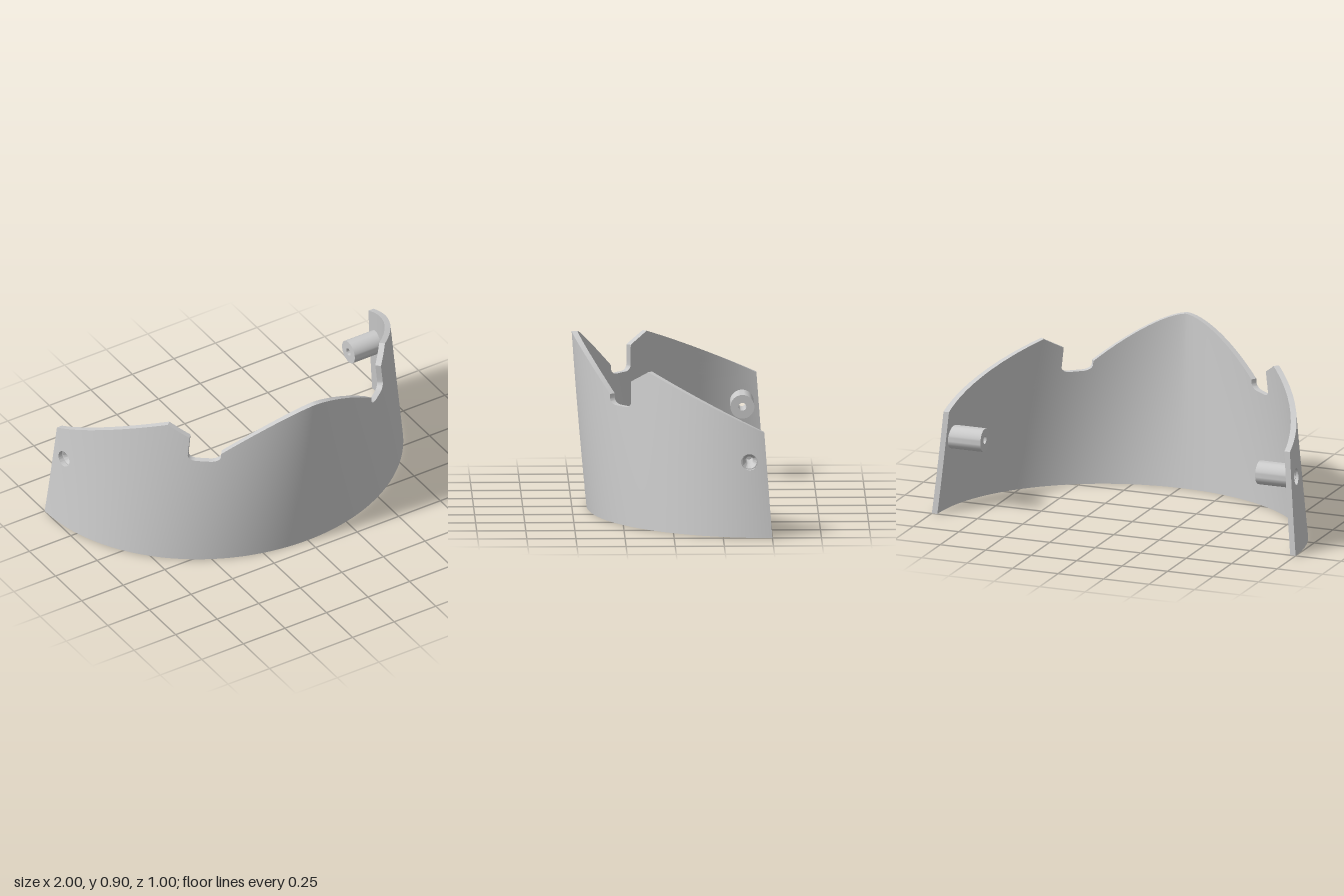
import * as THREE from 'three';
import { mergeGeometries, toCreasedNormals } from 'three/addons/utils/BufferGeometryUtils.js';

const WALL = 0.03, HALF = Math.PI / 2;
const HOLE = { z: -0.385, y: 0.385, r: 0.042, patch: 0.065 };
const NOTCH_Y = 0.605, PEAK_Y = 0.905, WING_Y = 0.8;
const grey = () => new THREE.MeshStandardMaterial({ color: 0xcccccc, side: THREE.DoubleSide });

// Horizontal section at height y: a half superellipse, rounder at the base and more pointed higher up
const halfWidth = y => 1 - 0.1 * y + 0.02 * y * y;
const backZ = y => -0.5 + 0.075 * y;
const frontZ = y => 0.425 + 0.1 * y - 0.018 * y * y;
const depth = y => frontZ(y) - backZ(y);
const power = y => 2 - 0.46 * y;

// Section angle (0 = back end, HALF = front centre) of the point at depth z
const angleAt = (z, y) =>
  Math.asin(Math.min(1, Math.max(0, (z - backZ(y)) / depth(y)) ** (power(y) / 2)));

function surface(u, y) {
  const k = 2 / power(y);
  const x = halfWidth(y) * Math.max(0, Math.cos(u)) ** k;
  const z = backZ(y) + depth(y) * Math.sin(u) ** k;
  const level = h => (x / halfWidth(h)) ** power(h) + Math.max(0, (z - backZ(h)) / depth(h)) ** power(h);
  const q = power(y) - 1;
  const nx = (x / halfWidth(y)) ** q / halfWidth(y) * power(y);
  const nz = Math.max(0, (z - backZ(y)) / depth(y)) ** q / depth(y) * power(y);
  const ny = (level(y + 0.001) - level(y - 0.001)) / 0.002;
  const flat = Math.hypot(nx, nz);
  return {
    outer: new THREE.Vector3(x, y, z),
    inner: new THREE.Vector3(x - WALL * nx / flat, y, z - WALL * nz / flat),
    normal: new THREE.Vector3(nx, ny, nz).normalize(),
  };
}

function geometry(points, normals, index, side) {
  const g = new THREE.BufferGeometry();
  const flat = list => list.flatMap(v => [v.x * side, v.y, v.z]);
  g.setAttribute('position', new THREE.Float32BufferAttribute(flat(points), 3));
  if (normals) g.setAttribute('normal', new THREE.Float32BufferAttribute(flat(normals), 3));
  g.setIndex(side > 0 ? index : index.reverse());
  return g;
}

// Outer and inner skins over a grid of [angle, height] rows
function skin(rows, side) {
  const samples = rows.flat().map(([u, y]) => surface(u, y));
  const n = rows[0].length, out = [], inn = [];
  for (let i = 0; i < rows.length - 1; i++) {
    for (let j = 0; j < n - 1; j++) {
      const a = i * n + j, b = a + 1, d = a + n, c = d + 1;
      out.push(a, d, c, a, c, b);
      inn.push(a, c, d, a, b, c);
    }
  }
  return [
    geometry(samples.map(s => s.outer), samples.map(s => s.normal), out, side),
    geometry(samples.map(s => s.inner), samples.map(s => s.normal.clone().negate()), inn, side),
  ];
}

// Strip through the wall thickness along a path that keeps the shell on its left
function rim(path, side) {
  const points = [], index = [];
  path.forEach(([u, y], i) => {
    const s = surface(u, y), a = 2 * i;
    points.push(s.outer, s.inner);
    if (i < path.length - 1) index.push(a, a + 2, a + 1, a + 2, a + 3, a + 1);
  });
  return toCreasedNormals(geometry(points, null, index, side), 0.6);
}

// Evenly spaced values; ease > 1 packs them towards the end
const steps = (a, b, n, ease = 1) =>
  Array.from({ length: n + 1 }, (_, i) => b + (a - b) * (1 - i / n) ** ease);
const panel = (ys, lo, hi, cols) =>
  ys.map(y => steps(lo(y), hi(y), cols).map(u => [u, y]));

// Cut-out edges, as depth z at height y
const fillet = y => {
  const r = 0.03, d = Math.max(0, r - (y - NOTCH_Y));
  return r - Math.sqrt(Math.max(0, r * r - d * d));
};
const crestEdge = y => y < 0.655 ? 0.315 - fillet(y)
  : THREE.MathUtils.mapLinear(y, 0.655, PEAK_Y, 0.315, frontZ(PEAK_Y));
const wingFront = y => y < 0.74 ? 0.21 + fillet(y)
  : THREE.MathUtils.mapLinear(y, 0.74, WING_Y, 0.21, 0.125);
const wingBack = y => y < 0.535 ? backZ(y)
  : THREE.MathUtils.mapLinear(y, 0.535, WING_Y, backZ(0.535), 0.125);
const along = edge => y => angleAt(edge(y), y);
const centre = () => HALF;

function shellHalf(side) {
  const { z, y, r, patch } = HOLE;
  const baseYs = steps(0, y - patch, 10);
  const holeYs = steps(y - patch, y + patch, 8);
  const upperYs = [...steps(y + patch, 0.535, 4), ...steps(0.535, NOTCH_Y, 4).slice(1)];
  const curveYs = steps(0, 0.03, 8).map(d => NOTCH_Y + d * d / 0.03);
  const crestYs = [...curveYs, 0.655, ...steps(0.655, PEAK_Y, 28, 2).slice(1)];
  const wingYs = [...curveYs, ...steps(0.635, 0.74, 4).slice(1), ...steps(0.74, WING_Y, 6).slice(1)];

  // Square patch blending into the round screw hole
  const angles = steps(0, 2 * Math.PI, 48);
  const ring = (t, d) => {
    const h = y + d * Math.sin(t);
    return [angleAt(z + d * Math.cos(t), h), h];
  };
  const holePatch = angles.map(t => steps(r,
    patch / Math.max(Math.abs(Math.cos(t)), Math.abs(Math.sin(t))), 4).map(d => ring(t, d)));

  const skins = [
    panel(baseYs, along(wingBack), centre, 64),
    panel(holeYs, along(wingBack), along(() => z - patch), 3),
    panel(holeYs, along(() => z + patch), centre, 56),
    panel(upperYs, along(wingBack), centre, 64),
    panel(crestYs, along(crestEdge), centre, 28),
    panel(wingYs, along(wingBack), along(wingFront), 24),
    holePatch,
  ].flatMap(rows => skin(rows, side));

  const edge = (ys, f) => ys.map(h => [along(f)(h), h]);
  const down = ys => [...ys].reverse();
  const outline = [
    ...edge(down(crestYs), crestEdge),
    ...steps(0.285, 0.24, 6).slice(1, -1).map(d => [angleAt(d, NOTCH_Y), NOTCH_Y]),
    ...edge(wingYs, wingFront),
    ...edge(down(wingYs).slice(1), wingBack),
    ...edge([...down(upperYs).slice(1), ...down(holeYs).slice(1), ...down(baseYs).slice(1)], wingBack),
  ];
  const bottom = steps(0, HALF, 64).map(u => [u, 0]);
  const hole = down(angles).map(t => ring(t, r));
  return { skins, rims: [outline, bottom, hole].map(p => rim(p, side)) };
}

// Hollow peg with a countersunk outer end, turned about its own axis
function pegGeometry() {
  const profile = [
    [0.02, 0.755], [0.061, 0.755], [0.061, 0.938], [0.037, 0.938], [0.02, 0.9], [0.02, 0.755],
  ].map(([r, x]) => new THREE.Vector2(r, x));
  return toCreasedNormals(new THREE.LatheGeometry(profile, 40), 0.5);
}

export function createModel() {
  const model = new THREE.Group();
  model.name = 'curvedVisorBand';
  const add = (geo, name) => {
    const mesh = new THREE.Mesh(geo, grey());
    mesh.name = name;
    model.add(mesh);
    return mesh;
  };
  const halves = [1, -1].map(shellHalf);
  add(mergeGeometries(halves.flatMap(h => h.skins)), 'shell');
  add(mergeGeometries(halves.flatMap(h => h.rims)), 'shellRim');
  for (const side of [1, -1]) {
    const peg = add(pegGeometry(), side > 0 ? 'leftPeg' : 'rightPeg');
    peg.rotation.z = -side * HALF;
    peg.position.set(0, HOLE.y, HOLE.z);
  }
  return model;
}
